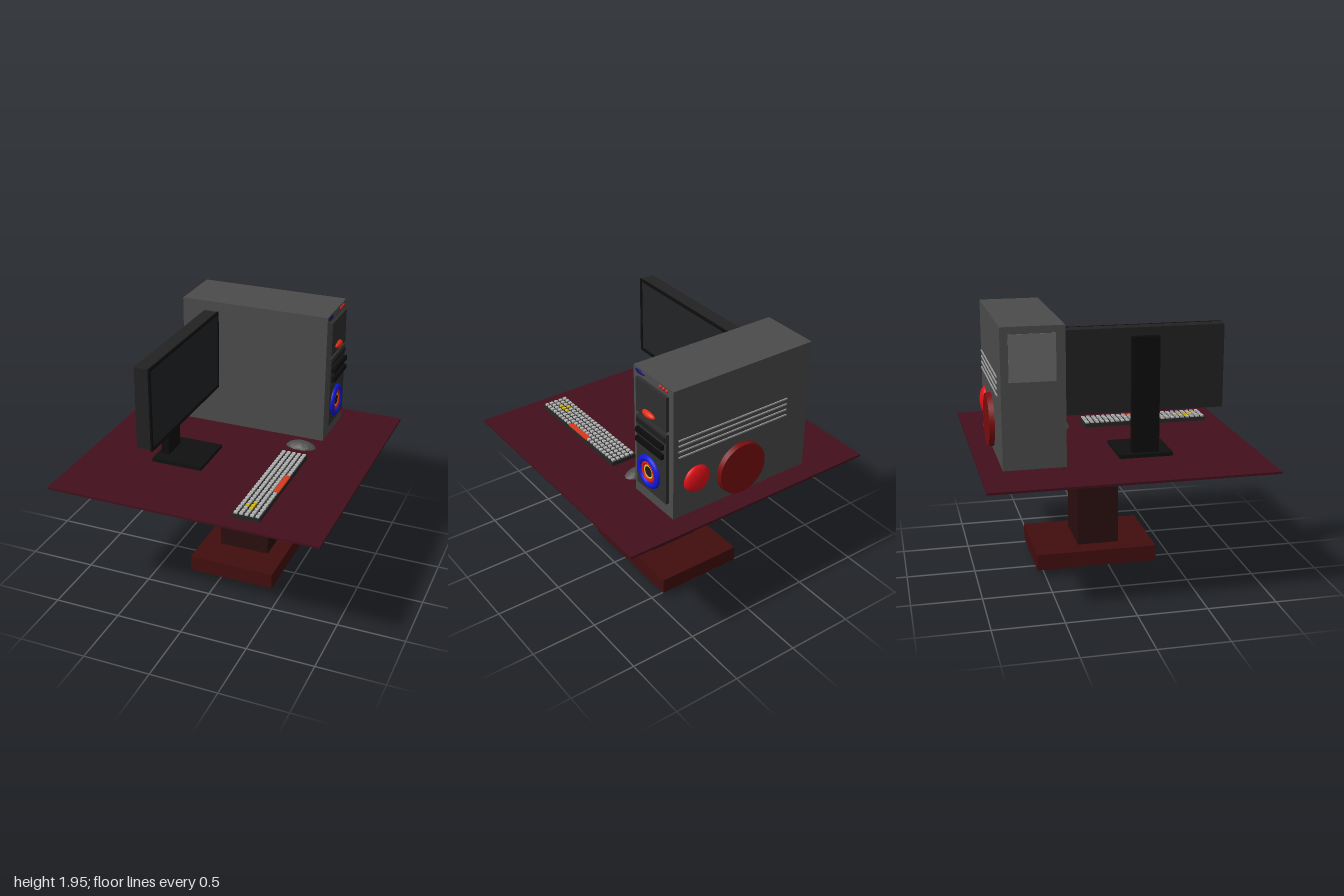
import * as THREE from 'three';

export function createModel() {
  const root = new THREE.Group();
  const mats = {};
  const mat = (color, flatShading = false) =>
    (mats[color + '_' + flatShading] ??= new THREE.MeshStandardMaterial({ color, flatShading }));

  const add = (name, geo, color, flat, parent = root) => {
    const m = new THREE.Mesh(geo, mat(color, flat));
    m.name = name;
    parent.add(m);
    return m;
  };
  // box given by its extents on each axis
  const box = (name, color, [x0, x1], [y0, y1], [z0, z1], parent) => {
    const m = add(name, new THREE.BoxGeometry(x1 - x0, y1 - y0, z1 - z0), color, false, parent);
    m.position.set((x0 + x1) / 2, (y0 + y1) / 2, (z0 + z1) / 2);
    return m;
  };
  const ellipsoid = (name, color, pos, radii, parent) => {
    const m = add(name, new THREE.SphereGeometry(1, 32, 16), color, false, parent);
    m.position.set(...pos);
    m.scale.set(...radii);
    return m;
  };
  const group = (name) => {
    const g = new THREE.Group();
    g.name = name;
    root.add(g);
    return g;
  };

  // Table
  const table = group('table');
  box('tableTop', 0x43101c, [-1, 1], [0.944, 0.96], [-1, 1], table);
  box('tableColumn', 0x2a0e0e, [-0.08, 0.305], [0, 0.944], [-0.23, 0.08], table);
  box('tableFoot', 0x420e0e, [-0.22, 0.435], [0.055, 0.175], [-0.56, 0.335], table);

  // Tower case, its face towards +x
  const tower = group('tower');
  box('case', 0x4b4b4b, [-0.58, 0.555], [0.955, 1.945], [-0.84, -0.4], tower);
  box('upperPanel', 0x2e2e2e, [0.55, 0.578], [1.63, 1.885], [-0.79, -0.455], tower);
  box('lowerPanel', 0x2e2e2e, [0.55, 0.578], [1.065, 1.605], [-0.79, -0.455], tower);
  box('driveStrip', 0x1c1c1c, [0.55, 0.585], [1.55, 1.585], [-0.785, -0.46], tower);
  for (const y of [1.507, 1.435])
    box('driveSlot', 0x0c0c0c, [0.55, 0.603], [y - 0.017, y + 0.017], [-0.77, -0.475], tower);
  ellipsoid('powerButton', 0xe02a10, [0.578, 1.675, -0.605], [0.03, 0.025, 0.067], tower);
  ellipsoid('statusLight', 0x101060, [0.555, 1.92, -0.475], [0.01, 0.014, 0.053], tower);
  for (const z of [-0.7, -0.735, -0.77])
    ellipsoid('indicator', 0xd01818, [0.555, 1.92, z], [0.012, 0.013, 0.013], tower);

  // Front fan of nested rings
  for (const [name, color, r, tube] of [
    ['fanOuterRing', 0x1018d8, 0.099, 0.024],
    ['fanMiddleRing', 0xd81818, 0.066, 0.016],
    ['fanInnerRing', 0xd8c818, 0.045, 0.01],
  ]) {
    const ring = add(name, new THREE.TorusGeometry(r, tube, 12, 48), color, false, tower);
    ring.position.set(0.578, 1.225, -0.6);
    ring.rotation.y = Math.PI / 2;
  }
  const hub = add('fanHub', new THREE.CylinderGeometry(0.038, 0.038, 0.012, 32), 0x1a1a1a, false, tower);
  hub.position.set(0.58, 1.225, -0.6);
  hub.rotation.z = Math.PI / 2;

  // Back of the tower: vents, fan cover and knob
  for (let i = 0; i < 4; i++) {
    const y = 1.57 - i * 0.043;
    box('ventLine', 0x9a9a9a, [-0.39, 0.515], [y - 0.005, y + 0.005], [-0.848, -0.835], tower);
  }
  const cover = add('backFanCover', new THREE.CylinderGeometry(0.19, 0.197, 0.045, 48), 0x7a0c0c, false, tower);
  cover.position.set(0, 1.17, -0.856);
  cover.rotation.x = -Math.PI / 2;
  ellipsoid('backKnob', 0xe01018, [0.365, 1.22, -0.84], [0.104, 0.104, 0.042], tower);
  box('sidePlate', 0x6a6a6a, [-0.586, -0.575], [1.57, 1.895], [-0.785, -0.465], tower);

  // Monitor, its screen towards +x
  const monitor = group('monitor');
  box('monitorBody', 0x222222, [-0.405, -0.3], [1.275, 1.873], [-0.392, 0.762], monitor);
  box('screen', 0x222326, [-0.302, -0.296], [1.28, 1.86], [-0.385, 0.75], monitor);
  for (const [y0, y1] of [[1.265, 1.29], [1.855, 1.875]])
    box('bezelRail', 0x0d0d0d, [-0.302, -0.29], [y0, y1], [-0.395, 0.765], monitor);
  for (const [z0, z1] of [[-0.395, -0.378], [0.743, 0.765]])
    box('bezelSide', 0x0d0d0d, [-0.302, -0.29], [1.29, 1.855], [z0, z1], monitor);
  box('standPost', 0x0c0c0c, [-0.46, -0.4], [0.97, 1.815], [0.09, 0.285], monitor);
  box('standFoot', 0x101010, [-0.49, -0.105], [0.941, 0.988], [-0.01, 0.375].map((z) => z + 0.004), monitor);

  // Keyboard
  const keyboard = group('keyboard');
  box('keyboardBody', 0x262626, [0.345, 0.54], [0.941, 0.99], [-0.085, 0.88], keyboard);
  const yellowKeys = ['19,2', '20,1', '20,2', '21,2'];
  for (let row = 0; row < 24; row++)
    for (let col = 0; col < 5; col++) {
      const x = 0.365 + col * 0.039, z = -0.063 + row * 0.0402;
      if (col === 4 && z > 0.26 && z < 0.53) continue; // room for the space bar
      const color = yellowKeys.includes(row + ',' + col) ? 0xd8c010 : 0xb4b4b4;
      box('key', color, [x - 0.012, x + 0.012], [0.985, 1.002], [z - 0.012, z + 0.012], keyboard);
    }
  box('spaceBar', 0xd8381c, [0.5, 0.539], [0.985, 1], [0.27, 0.515], keyboard);

  // Faceted mouse
  const mouse = add('mouse', new THREE.IcosahedronGeometry(1, 2), 0x4c4c4c, true);
  mouse.position.set(0.432, 0.93, -0.26);
  mouse.scale.set(0.127, 0.075, 0.075);

  return root;
}
